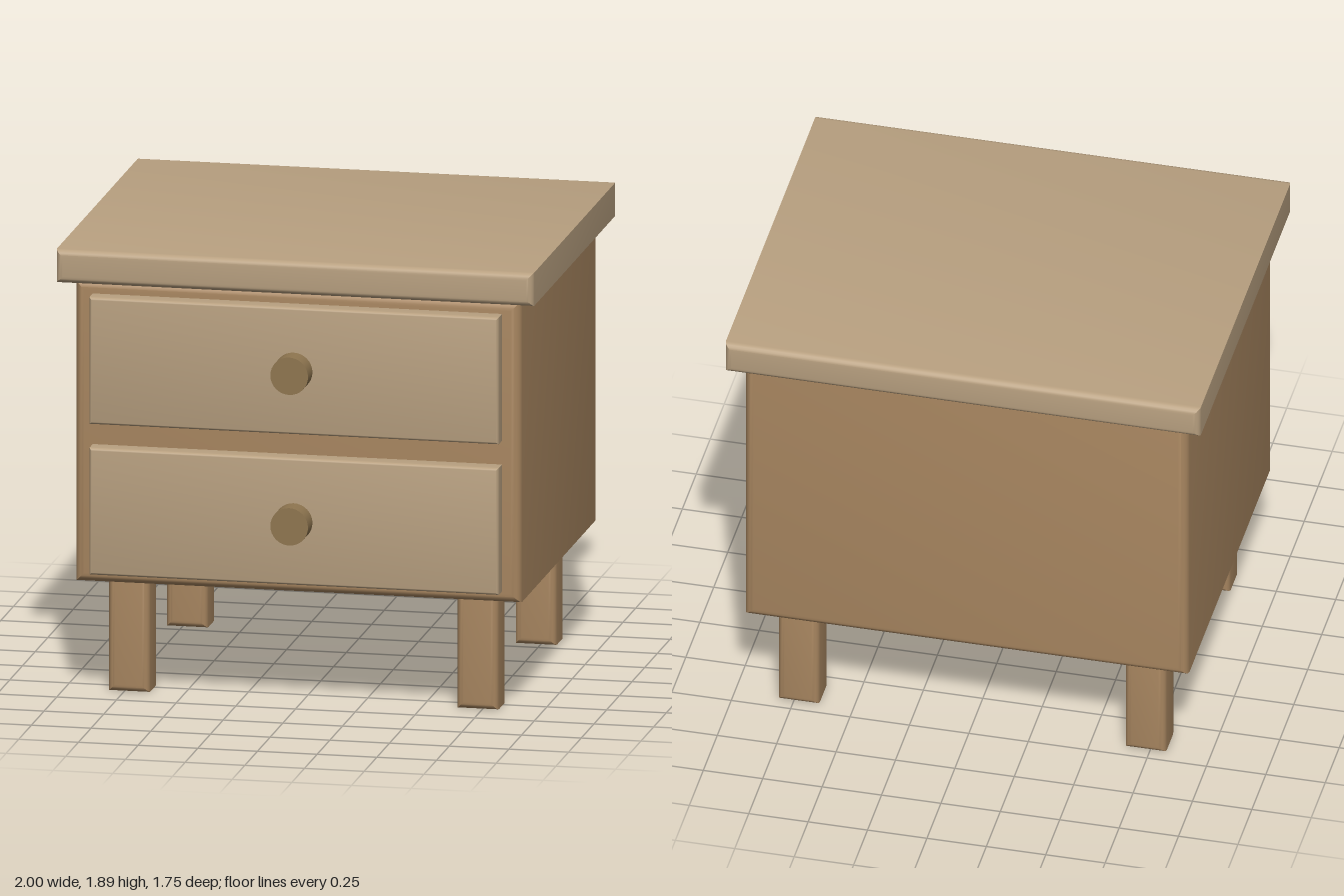
import * as THREE from 'three';
import { toCreasedNormals } from 'three/addons/utils/BufferGeometryUtils.js';

const bodyWood = new THREE.MeshStandardMaterial({ color: 0xa88660 });
const paleWood = new THREE.MeshStandardMaterial({ color: 0xb8a080 });
const knobWood = new THREE.MeshStandardMaterial({ color: 0x8f7650 });

// Box given by its extents, square in outline from the front, with rounded front and back rims
function board(name, [x0, x1], [y0, y1], [z0, z1], bevel, material) {
  const w = (x1 - x0) / 2 - bevel, h = (y1 - y0) / 2 - bevel;
  const shape = new THREE.Shape([
    new THREE.Vector2(-w, -h), new THREE.Vector2(w, -h),
    new THREE.Vector2(w, h), new THREE.Vector2(-w, h),
  ]);
  const geometry = new THREE.ExtrudeGeometry(shape, {
    depth: z1 - z0 - 2 * bevel, bevelSize: bevel, bevelThickness: bevel, bevelSegments: 5,
  });
  geometry.center();
  const mesh = new THREE.Mesh(toCreasedNormals(geometry, 0.6), material);
  mesh.name = name;
  mesh.position.set((x0 + x1) / 2, (y0 + y1) / 2, (z0 + z1) / 2);
  return mesh;
}

export function createModel() {
  const model = new THREE.Group();
  model.name = 'nightstand';

  // Cabinet and overhanging top
  model.add(board('cabinet', [-0.933, 0.933], [0.48, 1.752], [-0.808, 0.712], 0.04, bodyWood));
  model.add(board('tabletop', [-1, 1], [1.75, 1.89], [-0.875, 0.777], 0.03, paleWood));

  // Two drawers, each with a round knob
  [['lower', 0.53, 1.065], ['upper', 1.165, 1.70]].forEach(([level, y0, y1]) => {
    const drawer = new THREE.Group();
    drawer.name = level + 'Drawer';
    drawer.add(board('drawerFront', [-0.857, 0.857], [y0, y1], [0.68, 0.787], 0.015, paleWood));
    const knob = new THREE.Mesh(new THREE.CylinderGeometry(0.079, 0.079, 0.115, 32), knobWood);
    knob.name = 'knob';
    knob.rotation.x = Math.PI / 2;
    knob.position.set(0, (y0 + y1) / 2, 0.8175);
    drawer.add(knob);
    model.add(drawer);
  });

  // Four legs, let slightly into the cabinet
  for (const [side, x] of [['Left', 0.73], ['Right', -0.73]]) {
    for (const [end, z] of [['front', 0.524], ['back', -0.62]]) {
      model.add(board(end + side + 'Leg', [x - 0.086, x + 0.086], [0, 0.53], [z - 0.086, z + 0.086], 0.03, bodyWood));
    }
  }
  return model;
}
